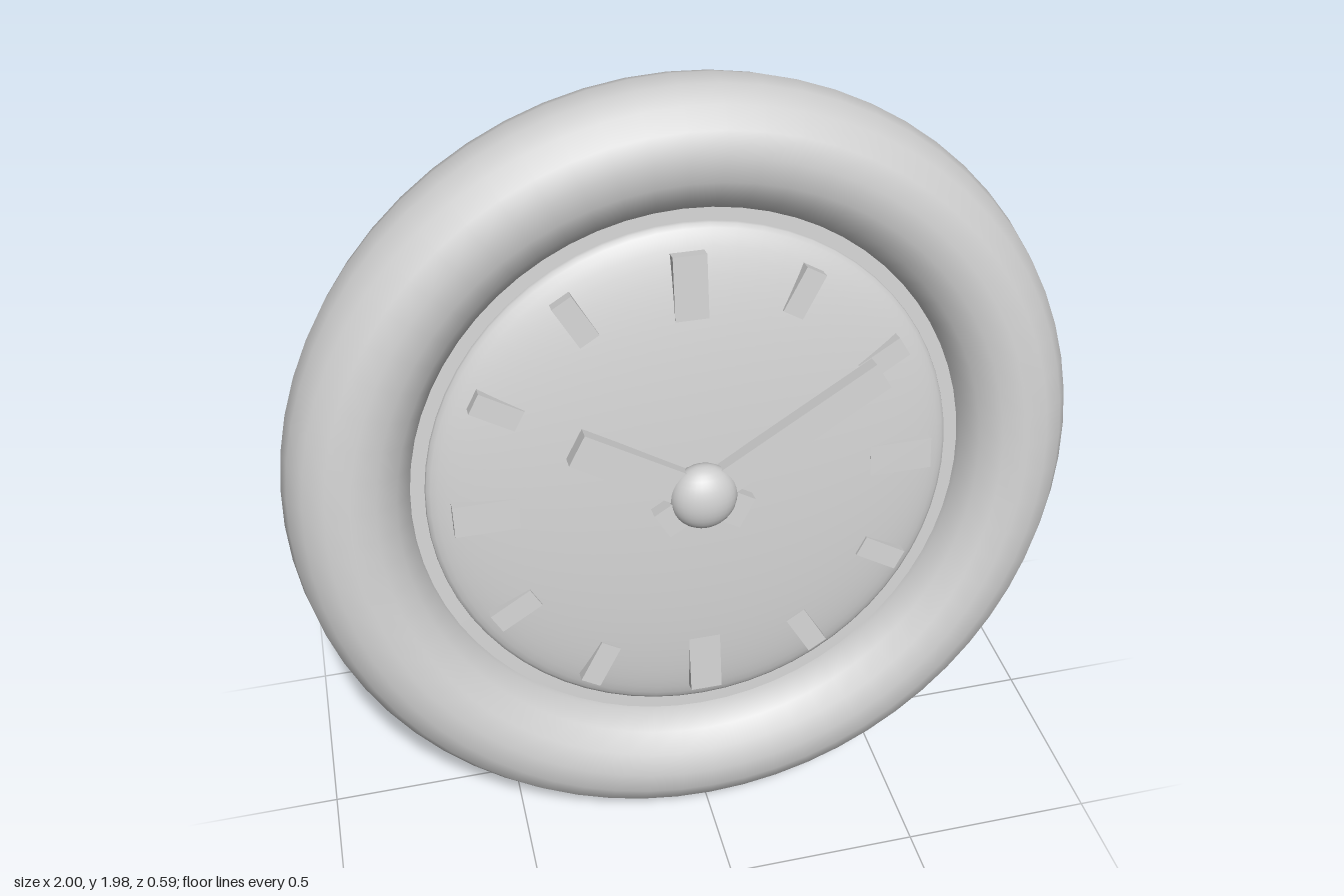
import * as THREE from 'three';

export function createModel() {
  const model = new THREE.Group();
  model.name = 'wallClock';
  const grey = new THREE.MeshStandardMaterial({ color: 0xcccccc });
  grey.name = 'light grey';

  // The clock is built upright, its back at z = 0, then leaned backwards
  const clock = new THREE.Group();
  clock.name = 'clock';
  clock.position.set(0, 0.966, -0.146);
  clock.rotation.x = THREE.MathUtils.degToRad(-9);
  model.add(clock);

  const add = (name, geometry, z, parent = clock) => {
    const mesh = new THREE.Mesh(geometry, grey);
    mesh.name = name;
    mesh.position.z = z;
    parent.add(mesh);
    return mesh;
  };
  const disc = (radius, depth) =>
    new THREE.CylinderGeometry(radius, radius, depth, 64).rotateX(Math.PI / 2);

  // Case: back plate and thick round rim
  add('backPlate', disc(0.953, 0.14), 0.07);
  add('rim', new THREE.TorusGeometry(0.845, 0.155, 16, 64), 0.16);

  // Dial: flat ring with a shallow dome rising from it
  add('dialRing', disc(0.705, 0.1), 0.155);
  const dome = new THREE.SphereGeometry(0.665, 64, 16, 0, Math.PI * 2, 0, Math.PI / 2);
  dome.rotateX(Math.PI / 2).scale(1, 1, 0.09 / 0.665);
  add('dialDome', dome, 0.203);

  // Hour markers, larger at each quarter
  const markers = new THREE.Group();
  markers.name = 'hourMarkers';
  clock.add(markers);
  for (let i = 0; i < 12; i++) {
    const angle = (i * Math.PI) / 6;
    const big = i % 3 === 0;
    const size = big ? [0.16, 0.082] : [0.12, 0.055];
    const radius = big ? 0.525 : 0.55;
    const marker = add('hourMarker', new THREE.BoxGeometry(size[0], size[1], 0.05), 0.245, markers);
    marker.position.x = Math.cos(angle) * radius;
    marker.position.y = Math.sin(angle) * radius;
    marker.rotation.z = angle;
  }

  // Hands with short tails beyond the hub
  const addHand = (name, degrees, reach, width, z) => {
    const tail = 0.125;
    const geometry = new THREE.BoxGeometry(reach + tail, width, 0.04);
    geometry.translate((reach - tail) / 2, 0, 0);
    add(name, geometry, z).rotation.z = THREE.MathUtils.degToRad(degrees);
  };
  addHand('hourHand', 150, 0.35, 0.085, 0.306);
  addHand('minuteHand', 30, 0.525, 0.075, 0.31);

  // Flattened round hub
  add('hub', new THREE.SphereGeometry(0.085, 32, 16).scale(1, 1, 0.7), 0.315);

  return model;
}
